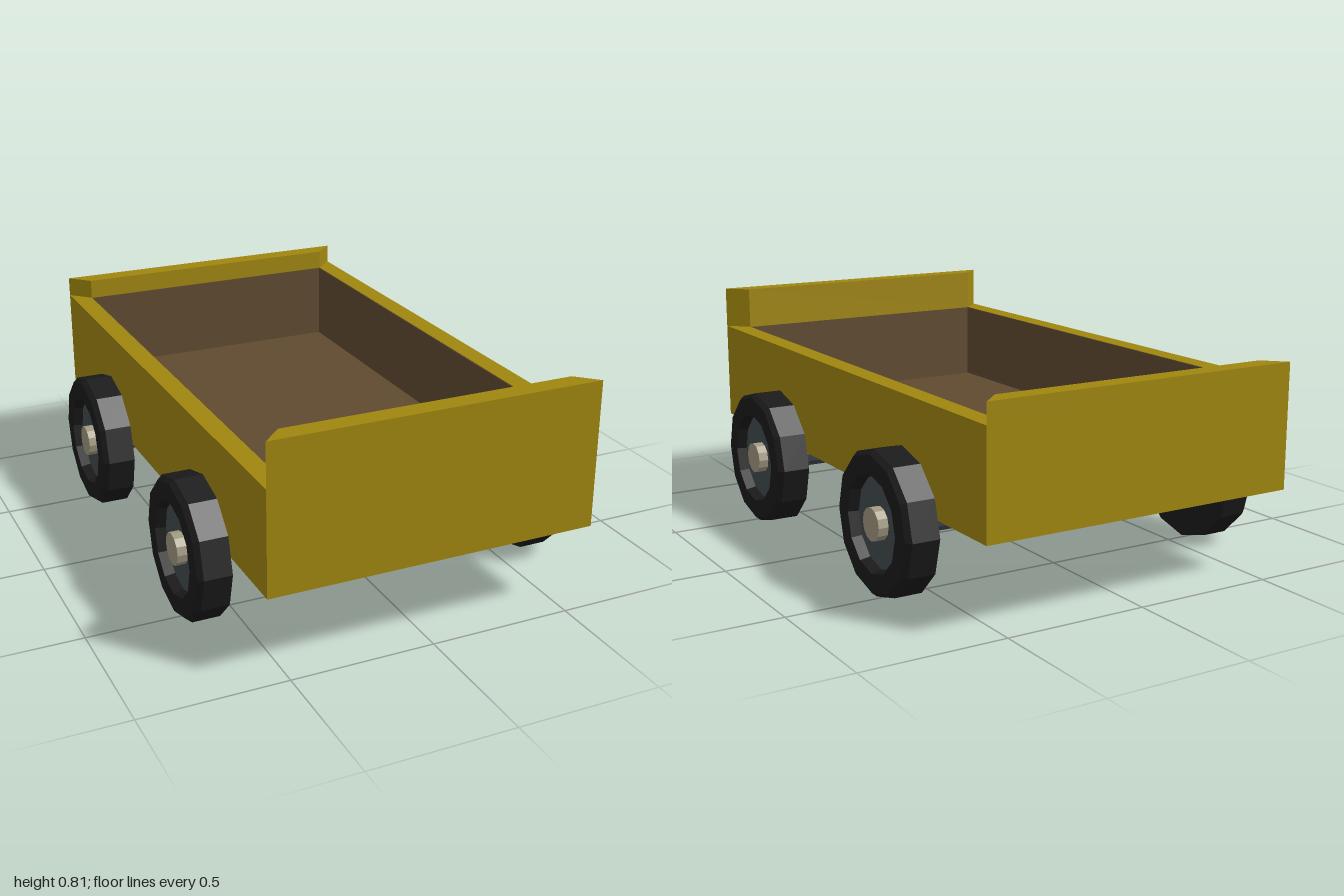
import * as THREE from 'three';

const paint = (color) => new THREE.MeshStandardMaterial({ color, flatShading: true });
const YELLOW = paint(0xa0860f), BROWN = paint(0x5f4a30), RUBBER = paint(0x1a1a1a);
const STEEL = paint(0x424a50), HUB = paint(0xa09880);

const W = 0.575, L = 1, T = 0.07;          // half width, half length, wall thickness
const BASE = 0.3, FLOOR = 0.37, RIM = 0.66;
const R = 0.245, AXLE_Z = 0.483;           // wheel radius, axle distance from centre

function add(parent, name, geometry, material, x = 0, y = 0, z = 0) {
  const mesh = new THREE.Mesh(geometry, material);
  mesh.name = name;
  mesh.position.set(x, y, z);
  parent.add(mesh);
  return mesh;
}

const polygon = (points) => points.map(([x, y]) => new THREE.Vector2(x, y));
const rectangle = (w, l) => polygon([[-w, -l], [w, -l], [w, l], [-w, l]]);

// Plan outline (x, -z) raised to the given height
function prism(points, height, hole) {
  const shape = new THREE.Shape(points);
  if (hole) shape.holes.push(new THREE.Path(hole));
  return new THREE.ExtrudeGeometry(shape, { depth: height, bevelEnabled: false }).rotateX(-Math.PI / 2);
}

// Mitred board that raises an end wall above the rim
function endBoard(parent, name, top, turn) {
  const outline = polygon([[-W, -L], [W, -L], [W - T, T - L], [T - W, T - L]]);
  add(parent, name, prism(outline, top - RIM, null), YELLOW, 0, RIM, 0).rotation.y = turn;
}

function createWheel(name) {
  const wheel = new THREE.Group();
  wheel.name = name;
  // Tyre with a bevelled outer edge and a recess for the disc
  const profile = polygon([[0, 0], [R, 0], [R, 0.097], [0.23, 0.115], [0.165, 0.115], [0.153, 0.07]]);
  add(wheel, 'tyre', new THREE.LatheGeometry(profile, 12), RUBBER);
  add(wheel, 'wheelDisc', new THREE.CylinderGeometry(0.156, 0.156, 0.06, 12), STEEL, 0, 0.05, 0);
  add(wheel, 'hubCap', new THREE.CylinderGeometry(0.056, 0.056, 0.04, 12), HUB, 0, 0.095, 0);
  return wheel;
}

export function createModel() {
  const model = new THREE.Group();
  model.name = 'cart';

  // Box body
  const body = new THREE.Group();
  body.name = 'body';
  model.add(body);
  const inner = rectangle(W - T, L - T);
  add(body, 'walls', prism(rectangle(W, L), RIM - BASE, inner), YELLOW, 0, BASE, 0);
  add(body, 'underside', new THREE.BoxGeometry(2 * (W - T), 0.03, 2 * (L - T)), YELLOW, 0, BASE + 0.015, 0);
  endBoard(body, 'frontBoard', 0.81, 0);
  endBoard(body, 'backBoard', 0.73, Math.PI);

  // Brown lining and floor
  const lining = prism(inner, RIM - BASE - 0.035, rectangle(W - T - 0.004, L - T - 0.004));
  add(body, 'lining', lining, BROWN, 0, BASE + 0.034, 0);
  add(body, 'floor', new THREE.BoxGeometry(2 * (W - T), 0.04, 2 * (L - T)), BROWN, 0, FLOOR - 0.02, 0);

  // Axles, each with a wheel at both ends
  for (const [end, z] of [['front', AXLE_Z], ['back', -AXLE_Z]]) {
    const axle = new THREE.CylinderGeometry(0.058, 0.058, 2 * W, 12);
    add(model, end + 'Axle', axle, STEEL, 0, R, z).rotation.z = Math.PI / 2;
    for (const [side, sign] of [['Left', 1], ['Right', -1]]) {
      const wheel = createWheel(end + side + 'Wheel');
      wheel.position.set(sign * W, R, z);
      wheel.rotation.z = -sign * Math.PI / 2;
      model.add(wheel);
    }
  }
  return model;
}
